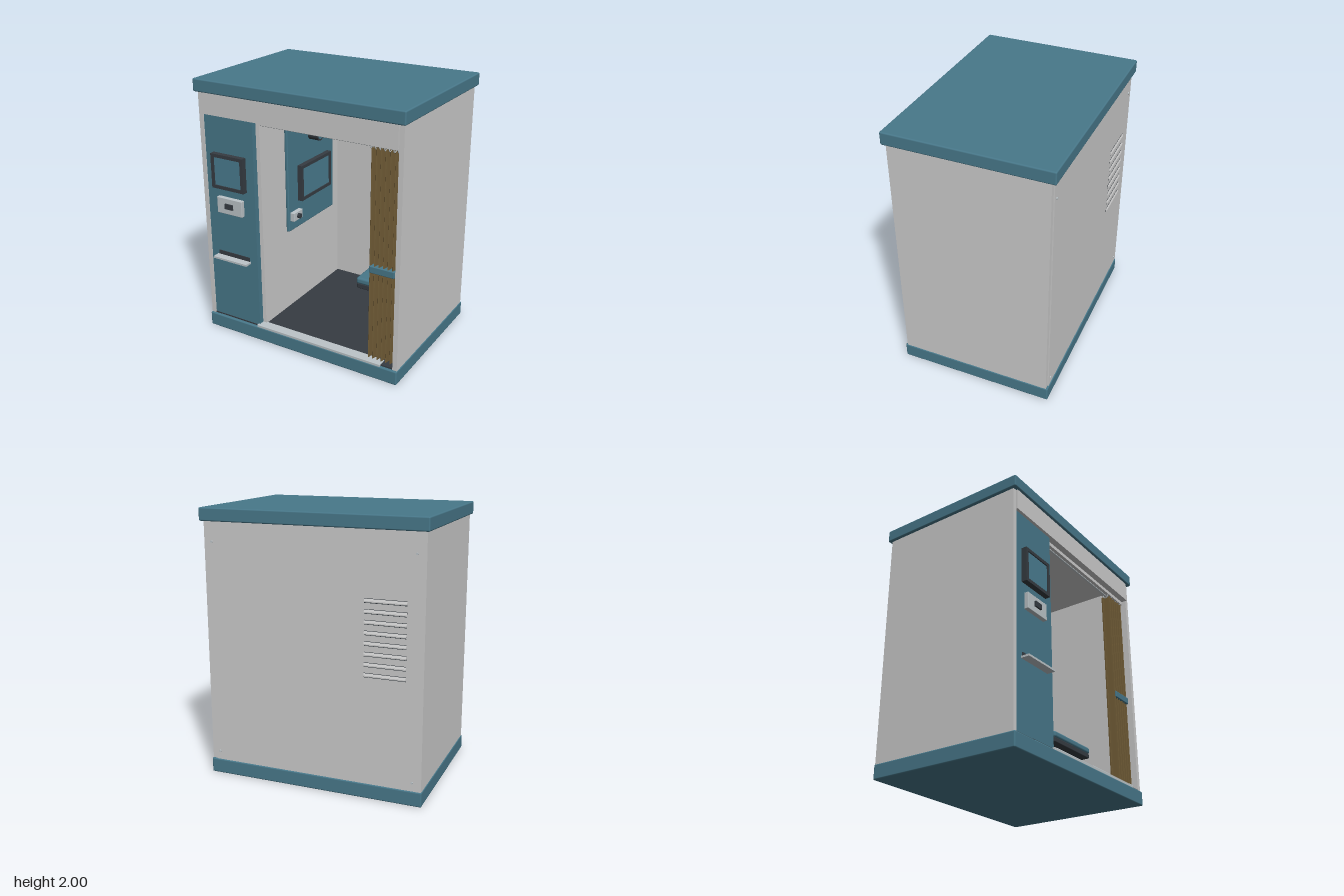
import * as THREE from 'three';
import { RoundedBoxGeometry } from 'three/addons/geometries/RoundedBoxGeometry.js';

const mat = (color) => new THREE.MeshStandardMaterial({ color });
const GREY = mat(0xcccccc), TEAL = mat(0x48788a), DARK = mat(0x363c42);
const BROWN = mat(0x6e5a35), STEEL = mat(0xbcc4c8), GLASS = mat(0x4a7c90), LAMP = mat(0xe8e6dc);

function add(parent, name, geometry, material) {
  const mesh = new THREE.Mesh(geometry, material);
  mesh.name = name;
  parent.add(mesh);
  return mesh;
}

// Box given by its extents; r > 0 rounds its edges
function block(parent, name, material, [x0, x1], [y0, y1], [z0, z1], r = 0) {
  const size = [x1 - x0, y1 - y0, z1 - z0];
  const geo = r ? new RoundedBoxGeometry(...size, 2, r) : new THREE.BoxGeometry(...size);
  geo.translate((x0 + x1) / 2, (y0 + y1) / 2, (z0 + z1) / 2);
  return add(parent, name, geo, material);
}

function part(parent, name) {
  const g = new THREE.Group();
  g.name = name;
  parent.add(g);
  return g;
}

// Rectangular frame in the xy plane, centred, from z = 0 to depth
function frameGeometry(w, h, border, depth) {
  const rect = (S, a, b) => new S([[-a, -b], [a, -b], [a, b], [-a, b]].map((p) => new THREE.Vector2(...p)));
  const shape = rect(THREE.Shape, w / 2, h / 2);
  shape.holes.push(rect(THREE.Path, w / 2 - border, h / 2 - border));
  return new THREE.ExtrudeGeometry(shape, { depth, bevelEnabled: false });
}

// Monitor facing +z with its back at z = 0
function monitor(parent, name, w, h, depth) {
  const g = part(parent, name);
  add(g, 'bezel', frameGeometry(w, h, 0.025, depth), DARK);
  block(g, 'screen', GLASS, [-w / 2 + 0.024, w / 2 - 0.024], [-h / 2 + 0.024, h / 2 - 0.024], [0, depth - 0.008]);
  return g;
}

function buildShell(root) {
  const g = part(root, 'shell');
  block(g, 'base', TEAL, [-0.825, 0.825], [0, 0.11], [-0.595, 0.58], 0.01);
  block(g, 'roof', TEAL, [-0.84, 0.84], [1.905, 2], [-0.615, 0.595], 0.01);
  for (const s of [-1, 1]) {
    const x = [s * 0.82, s * 0.785].sort((a, b) => a - b);
    block(g, 'sideWall', GREY, x, [0.1, 1.91], [-0.58, 0.565]);
  }
  block(g, 'backWall', GREY, [-0.82, 0.785], [0.1, 1.91], [-0.588, -0.56]);
  block(g, 'ceiling', GREY, [-0.79, 0.79], [1.87, 1.908], [-0.57, 0.56]);
  block(g, 'header', GREY, [-0.79, 0.785], [1.745, 1.908], [0.53, 0.578]);
  block(g, 'floor', DARK, [-0.79, 0.79], [0.1, 0.12], [-0.57, 0.56]);
  block(g, 'threshold', STEEL, [-0.375, 0.69], [0.105, 0.128], [0.5, 0.577], 0.004);
  block(g, 'partition', GREY, [-0.36, -0.33], [0.11, 1.88], [-0.57, 0.515]);

  // Louvres and corner screws on the back
  const slat = new THREE.Shape([[0, 0.014], [0.009, -0.004], [0.009, -0.012], [0, -0.012]]
    .map((p) => new THREE.Vector2(...p)));
  for (let i = 0; i < 8; i++) {
    const y = 1.43 - i * 0.074;
    block(g, 'ventSlot', DARK, [-0.695, -0.395], [y - 0.018, y + 0.014], [-0.5895, -0.58]);
    const louvre = add(g, 'louvre', new THREE.ExtrudeGeometry(slat, { depth: 0.3, bevelEnabled: false }), GREY);
    louvre.rotation.y = Math.PI / 2;
    louvre.position.set(-0.695, y, -0.588);
    louvre.scale.x = 1;
  }
  for (const x of [-0.755, 0.755]) for (const y of [0.175, 1.76]) {
    const screw = add(g, 'screw', new THREE.CylinderGeometry(0.008, 0.008, 0.014, 12), STEEL);
    screw.rotation.x = Math.PI / 2;
    screw.position.set(x, y, -0.59);
  }
}

function buildFrontPanel(root) {
  const g = part(root, 'frontPanel');
  block(g, 'panel', TEAL, [-0.785, -0.36], [0.115, 1.75], [0.51, 0.557]);
  monitor(g, 'outerMonitor', 0.285, 0.265, 0.043).position.set(-0.572, 1.333, 0.555);
  block(g, 'paymentUnit', STEEL, [-0.685, -0.46], [1.005, 1.13], [0.55, 0.588], 0.004);
  block(g, 'paymentSlot', DARK, [-0.608, -0.538], [1.05, 1.09], [0.58, 0.6]);
  block(g, 'printSlot', DARK, [-0.715, -0.43], [0.642, 0.677], [0.55, 0.562]);
  block(g, 'printTray', STEEL, [-0.725, -0.42], [0.63, 0.645], [0.55, 0.62]);
}

function buildConsole(root) {
  const g = part(root, 'insideConsole');
  block(g, 'consoleBoard', TEAL, [-0.332, -0.305], [0.78, 1.71], [-0.44, 0.21], 0.008);
  const m = monitor(g, 'insideMonitor', 0.43, 0.285, 0.04);
  m.rotation.y = Math.PI / 2;
  m.position.set(-0.306, 1.143, -0.135);
  block(g, 'lamp', LAMP, [-0.307, -0.275], [1.6, 1.695], [-0.36, 0.13], 0.006);
  const camera = part(g, 'cameraLens');
  camera.rotation.z = -Math.PI / 2;
  camera.position.set(-0.262, 1.49, -0.115);
  add(camera, 'lensBarrel', new THREE.CylinderGeometry(0.044, 0.044, 0.09, 32), DARK);
  add(camera, 'lensGlass', new THREE.CylinderGeometry(0.032, 0.032, 0.094, 32), GLASS);
  block(g, 'controlBox', STEEL, [-0.307, -0.27], [0.865, 0.935], [0.07, 0.19], 0.004);
  const knob = add(g, 'controlButton', new THREE.CylinderGeometry(0.02, 0.02, 0.025, 20), DARK);
  knob.rotation.z = Math.PI / 2;
  knob.position.set(-0.262, 0.9, 0.13);
}

function buildSeat(root) {
  const g = part(root, 'seat');
  block(g, 'cushion', TEAL, [0.265, 0.775], [0.473, 0.525], [-0.39, 0.17], 0.018);
  block(g, 'seatPan', DARK, [0.27, 0.77], [0.435, 0.477], [-0.385, 0.165], 0.008);
  const post = add(g, 'seatPost', new THREE.CylinderGeometry(0.09, 0.09, 0.28, 32), STEEL);
  post.position.set(0.588, 0.3, -0.11);
  block(g, 'seatFoot', STEEL, [0.4, 0.776], [0.115, 0.175], [-0.3, 0.08], 0.006);
}

function buildCurtain(root) {
  const g = part(root, 'curtain');
  block(g, 'railCover', GREY, [-0.33, 0.785], [1.717, 1.75], [0.47, 0.53]);
  const rail = add(g, 'rail', new THREE.CylinderGeometry(0.007, 0.007, 1.11, 12), STEEL);
  rail.rotation.z = Math.PI / 2;
  rail.position.set(0.228, 1.711, 0.5);

  // Pleated cloth, a wavy strip pulled upward
  const pleats = 6, steps = 72, front = [], back = [];
  for (let i = 0; i <= steps; i++) {
    const t = i / steps, x = 0.557 + 0.208 * t;
    const z = 0.03 * Math.cos(t * pleats * Math.PI * 2);
    front.push(new THREE.Vector2(x, z - 0.005));
    back.unshift(new THREE.Vector2(x, z + 0.005));
  }
  const cloth = new THREE.ExtrudeGeometry(new THREE.Shape([...front, ...back]), { depth: 1.575, bevelEnabled: false });
  cloth.rotateX(-Math.PI / 2).translate(0, 0.127, 0.5);
  add(g, 'cloth', cloth, BROWN);

  for (let i = 0; i <= pleats; i++) {
    const ring = add(g, 'curtainRing', new THREE.TorusGeometry(0.02, 0.004, 6, 16), STEEL);
    ring.rotation.y = Math.PI / 2;
    ring.position.set(0.562 + (0.198 * i) / pleats, 1.711, 0.5);
  }
  block(g, 'tieBand', TEAL, [0.572, 0.766], [0.81, 0.862], [0.458, 0.542], 0.006);
}

export function createModel() {
  const root = new THREE.Group();
  root.name = 'booth';
  buildShell(root);
  buildFrontPanel(root);
  buildConsole(root);
  buildSeat(root);
  buildCurtain(root);
  return root;
}
